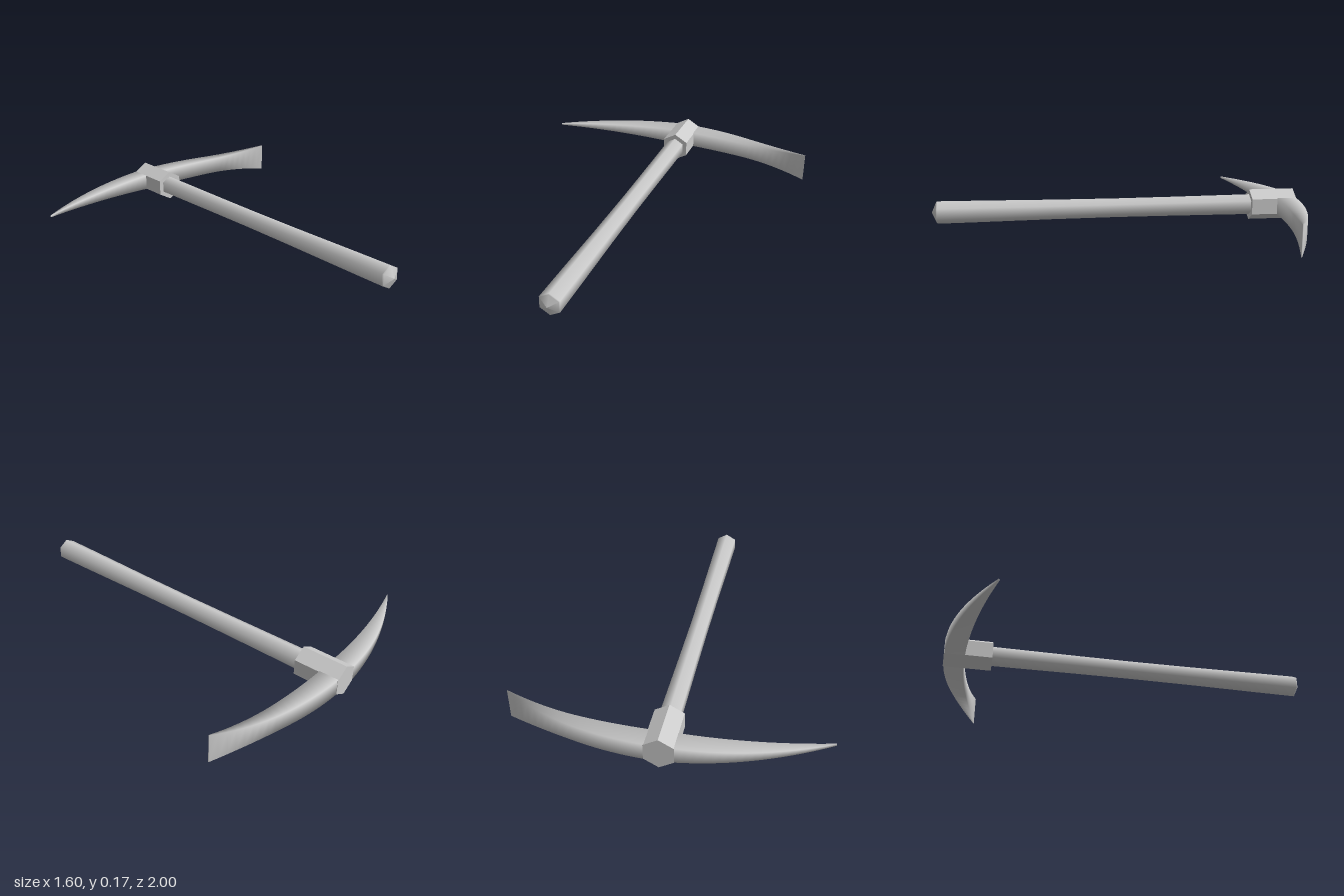
import * as THREE from 'three';

const MID_Y = 0.088; // height of the tool's axis
const material = new THREE.MeshStandardMaterial({ color: 0xcccccc });

function addPart(group, name, geometry, mat = material) {
  const mesh = new THREE.Mesh(geometry, mat);
  mesh.name = name;
  mesh.position.y = MID_Y;
  group.add(mesh);
}

// Six-sided lathe along z from [radius, z] pairs
function hexLathe(profile) {
  return new THREE.LatheGeometry(profile.map(([r, z]) => new THREE.Vector2(r, z)), 6).rotateX(Math.PI / 2);
}

// Half height of the head: tapering pick on -x, flaring adze blade on +x
function halfHeight(x) {
  if (x < 0) return THREE.MathUtils.mapLinear(x, -0.8, 0, 0.005, 0.047);
  const t = Math.max(0, (x - 0.4) / 0.4);
  return 0.045 + 0.036 * t * t;
}

// Curved head: four-cornered sections swept along x with shared normals
function headGeometry() {
  const steps = 40, positions = [], index = [];
  for (let i = 0; i <= steps; i++) {
    const x = -0.8 + (1.6 * i) / steps;
    const h = halfHeight(x), s = (x / 0.8) ** 2;
    const outer = -1 + 0.211 * s, inner = -0.893 + 0.108 * s;
    positions.push(x, h, outer, x, h, inner, x, -h, inner, x, -h, outer);
    if (i === steps) break;
    for (let j = 0; j < 4; j++) {
      const a = i * 4 + j, b = i * 4 + ((j + 1) % 4);
      index.push(a, b, a + 4, b, b + 4, a + 4);
    }
  }
  const e = steps * 4;
  index.push(0, 2, 1, 0, 3, 2, e, e + 1, e + 2, e, e + 2, e + 3);
  const g = new THREE.BufferGeometry();
  g.setAttribute('position', new THREE.Float32BufferAttribute(positions, 3));
  g.setIndex(index);
  g.computeVertexNormals();
  return g;
}

export function createModel() {
  const group = new THREE.Group();
  group.name = 'pickaxe';

  // Shaft with a slight waist and a pointed butt
  addPart(group, 'handle', hexLathe([
    [0.056, -0.95], [0.057, -0.75], [0.054, -0.3], [0.053, 0], [0.055, 0.35],
    [0.06, 0.75], [0.062, 0.968], [0.062, 0.972], [0.058, 0.975], [0, 1],
  ]));

  // Hexagonal socket holding the shaft
  const flat = material.clone();
  flat.flatShading = true;
  addPart(group, 'collar', hexLathe([[0, -1], [0.085, -1], [0.085, -0.75], [0, -0.75]]), flat);

  addPart(group, 'head', headGeometry());
  return group;
}
